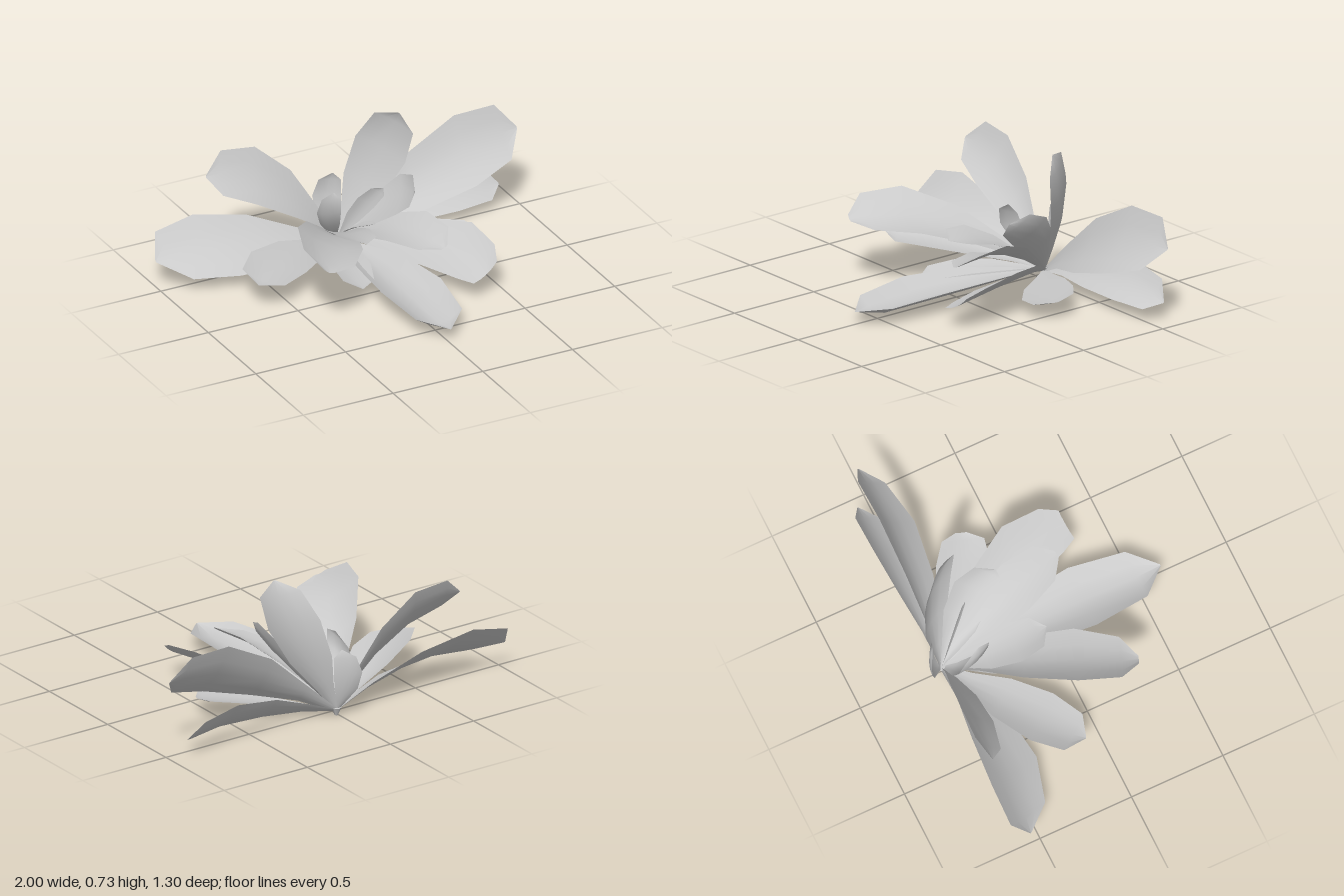
import * as THREE from 'three';

const material = new THREE.MeshStandardMaterial({ color: 0xcccccc, side: THREE.DoubleSide });
const base = new THREE.Vector3(0.01, 0.025, -0.55);

// Stations along a petal and the share of its full width at each but the last
const stations = [0, 0.15, 0.35, 0.62, 0.88, 1];
const widths = [0.08, 0.34, 0.8, 1, 0.78];
const COLS = 4;

// A petal: wide = centre of the widest section, side = half-width vector there,
// tip = outer end, fold = depth of the central channel, blunt = width share at the tip
function petal(name, wide, side, tip, fold = 0.03, blunt = 0.03) {
  const w = new THREE.Vector3(...wide), s = new THREE.Vector3(...side), e = new THREE.Vector3(...tip);
  const normal = new THREE.Vector3().crossVectors(s, e.clone().sub(base)).normalize();
  // Inner side looks up and forward; the faces are wound to match
  const flipped = normal.dot(new THREE.Vector3(0, 1, 0.5)) < 0;
  if (flipped) normal.negate();
  const positions = [], index = [], m = 0.62;
  stations.forEach((t, i) => {
    const width = widths[i] ?? blunt;
    // Quadratic centreline through base, widest section and tip
    const centre = base.clone().multiplyScalar((t - m) * (t - 1) / m)
      .addScaledVector(w, t * (t - 1) / (m * (m - 1)))
      .addScaledVector(e, t * (t - m) / (1 - m));
    for (let j = 0; j <= COLS; j++) {
      const u = (j / COLS) * 2 - 1;
      const p = centre.clone().addScaledVector(s, u * width)
        .addScaledVector(normal, -fold * (1 - u * u) * width);
      positions.push(p.x, Math.max(p.y, 0), p.z);
      if (i < stations.length - 1 && j < COLS) {
        const a = i * (COLS + 1) + j, b = a + COLS + 1;
        index.push(a, a + 1, b, a + 1, b + 1, b);
      }
    }
  });
  if (flipped) index.reverse();
  const geometry = new THREE.BufferGeometry();
  geometry.setAttribute('position', new THREE.Float32BufferAttribute(positions, 3));
  geometry.setIndex(index);
  geometry.computeVertexNormals();
  const mesh = new THREE.Mesh(geometry, material);
  mesh.name = name;
  return mesh;
}

export function createModel() {
  const flower = new THREE.Group();
  flower.name = 'flower';

  // Large spreading petals
  flower.add(
    petal('leftUpperPetal', [0.68, 0.385, -0.47], [-0.01, 0.153, -0.1], [1, 0.41, -0.53]),
    petal('leftLowerPetal', [0.65, 0.15, -0.54], [0, 0.085, -0.08], [0.92, 0.1, -0.57], 0.02),
    petal('rightLowerPetal', [-0.69, 0.185, -0.49], [-0.06, 0.115, -0.15], [-1, 0.14, -0.55]),
    petal('rightUpperPetal', [-0.43, 0.47, -0.57], [0.03, 0.12, -0.075], [-0.69, 0.51, -0.61], 0.02),
    petal('uprightPetal', [0.21, 0.505, -0.475], [-0.08, 0.045, -0.11], [0.27, 0.73, -0.39]),
    petal('frontRightPetal', [-0.33, 0.37, 0.02], [-0.15, 0.07, -0.06], [-0.48, 0.345, 0.29], 0.04, 0.15),
    petal('sideRightPetal', [-0.48, 0.155, -0.24], [-0.095, 0.03, -0.11], [-0.67, 0.14, -0.09]),
    petal('frontPetal', [0.015, 0.115, 0.22], [0.165, 0, 0], [0.01, 0.07, 0.645], 0.065),
    petal('frontLeftPetal', [0.33, 0.175, 0.02], [0.14, 0.08, -0.02], [0.38, 0.14, 0.31], 0.03, 0.5),
    petal('sideLeftPetal', [0.43, 0.09, -0.23], [0.04, 0.02, -0.13], [0.58, 0.1, -0.17], 0.02, 0.2),
  );

  // Inner petals around the heart
  flower.add(
    petal('innerFrontLeftPetal', [0.15, 0.275, -0.08], [0.12, 0.045, -0.02], [0.22, 0.26, 0.18], 0.03, 0.15),
    petal('innerLeftPetal', [0.21, 0.34, -0.29], [0.05, 0.07, -0.07], [0.23, 0.41, -0.15], 0.02),
    petal('innerFrontRightPetal', [-0.1, 0.25, -0.22], [-0.115, 0.02, 0], [-0.1, 0.26, -0.03], 0.02),
    petal('lowerFrontRightPetal', [-0.12, 0.09, -0.16], [-0.1, 0.01, -0.02], [-0.18, 0.08, 0.08], 0.02),
    petal('innerRightPetal', [-0.1, 0.25, -0.43], [0.02, 0.04, 0.09], [-0.09, 0.37, -0.4], 0.015),
    petal('innerBackPetal', [-0.015, 0.24, -0.615], [0.065, 0, 0.03], [0.01, 0.365, -0.6], 0.015),
    petal('heartPetal', [0.1, 0.26, -0.42], [0.03, -0.02, 0.03], [0.16, 0.36, -0.35], 0.01),
    petal('smallHeartPetal', [0.06, 0.15, -0.42], [0.03, 0.01, 0], [0.09, 0.2, -0.3], 0.01),
  );

  // Small knot where the petals meet
  const knot = new THREE.Mesh(new THREE.CylinderGeometry(0.025, 0.008, 0.04, 6), material);
  knot.name = 'knot';
  knot.position.set(base.x, 0.02, base.z);
  flower.add(knot);
  return flower;
}
